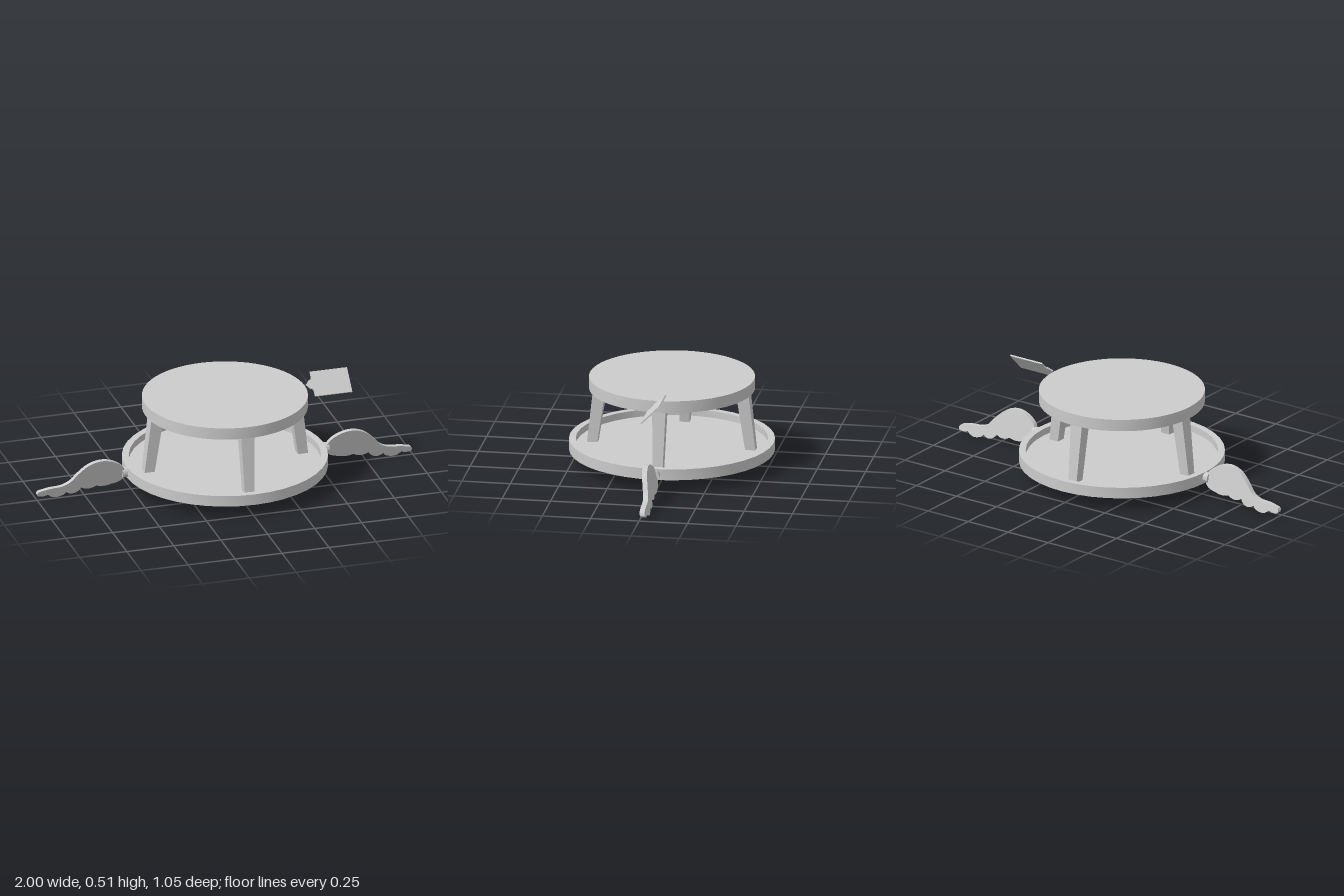
import * as THREE from 'three';
import { toCreasedNormals } from 'three/addons/utils/BufferGeometryUtils.js';

const material = new THREE.MeshStandardMaterial({ color: 0xcccccc });

function part(name, geometry, parent, creased = true) {
  const mesh = new THREE.Mesh(creased ? toCreasedNormals(geometry, 0.6) : geometry, material);
  mesh.name = name;
  parent.add(mesh);
  return mesh;
}

// Box whose lower and upper ends have their own z range and half width
function legGeometry(y0, y1) {
  const geometry = new THREE.BoxGeometry(1, 1, 1);
  const p = geometry.attributes.position;
  for (let i = 0; i < p.count; i++) {
    const upper = p.getY(i) > 0;
    const outer = p.getZ(i) > 0;
    const half = upper ? 0.035 : 0.025;
    const z = upper ? (outer ? 0.4 : 0.335) : (outer ? 0.435 : 0.382);
    p.setXYZ(i, Math.sign(p.getX(i)) * half, upper ? y1 : y0, z);
  }
  geometry.computeVertexNormals();
  return geometry;
}

// Feathered outline, extruded and leaned so the top edge comes forward
function wingGeometry(side) {
  const v = (x, y) => new THREE.Vector2(side * x, y);
  const shape = new THREE.Shape();
  shape.moveTo(side * 0.535, 0.105);
  shape.splineThru([
    v(0.55, 0.14), v(0.585, 0.168), v(0.63, 0.186), v(0.68, 0.189), v(0.735, 0.17),
    v(0.785, 0.127), v(0.825, 0.083), v(0.87, 0.062), v(0.935, 0.056), v(0.99, 0.044),
  ]);
  // Scalloped feather tips: control point, end point
  const scallops = [
    [1.005, 0.03, 0.99, 0.018], [0.965, 0.012, 0.94, 0.022],
    [0.91, -0.01, 0.865, 0.008], [0.85, 0.012, 0.845, 0.026],
    [0.815, 0.002, 0.785, 0.02], [0.77, 0.03, 0.765, 0.043],
    [0.725, 0.018, 0.685, 0.043], [0.64, 0.03, 0.605, 0.043],
    [0.545, 0.05, 0.535, 0.085],
  ];
  for (const [cx, cy, x, y] of scallops) shape.quadraticCurveTo(side * cx, cy, side * x, y);
  shape.closePath();
  const geometry = new THREE.ExtrudeGeometry(shape, { depth: 0.026, bevelEnabled: false, curveSegments: 6 });
  geometry.translate(0, 0, -0.013);
  const p = geometry.attributes.position;
  for (let i = 0; i < p.count; i++) p.setZ(i, p.getZ(i) + (p.getY(i) - 0.1) * 0.24);
  return geometry;
}

export function createModel() {
  const model = new THREE.Group();
  model.name = 'wingedStand';

  // Shallow tray with a raised rim
  const tray = [[0, 0.07], [0.525, 0.07], [0.525, 0.128], [0.49, 0.128], [0.49, 0.092], [0, 0.092]];
  part('baseTray', new THREE.LatheGeometry(tray.map(([x, y]) => new THREE.Vector2(x, y)), 40), model);

  // Upper disc
  part('topDisc', new THREE.CylinderGeometry(0.423, 0.423, 0.062, 64).translate(0, 0.429, 0), model);

  // Four tapered legs leaning inwards
  for (let i = 0; i < 4; i++) {
    const leg = part('leg' + (i + 1), legGeometry(0.09, 0.4), model, false);
    leg.rotation.y = (i * Math.PI) / 2;
  }

  // Wings, each on a round stub
  for (const side of [1, -1]) {
    const wing = new THREE.Group();
    wing.name = side > 0 ? 'leftWing' : 'rightWing';
    model.add(wing);
    part('feathers', wingGeometry(side), wing);
    const stub = new THREE.CylinderGeometry(0.027, 0.027, 0.04, 20);
    part('wingStub', stub.rotateZ(Math.PI / 2).translate(side * 0.53, 0.1, 0), wing);
  }

  // Thin tilted tag with a pointed neck
  const tag = new THREE.Shape([
    [0.43, 0], [0.452, -0.026], [0.458, -0.022], [0.465, -0.035], [0.465, -0.068], [0.663, -0.068],
    [0.663, 0.068], [0.465, 0.068], [0.465, 0.035], [0.458, 0.022], [0.452, 0.026],
  ].map(([x, y]) => new THREE.Vector2(x, y)));
  const tagGeometry = new THREE.ExtrudeGeometry(tag, { depth: 0.008, bevelEnabled: false });
  tagGeometry.translate(0, 0, -0.004).rotateX(-Math.PI / 4).translate(0, 0.46, 0);
  part('tag', tagGeometry, model, false);

  return model;
}
